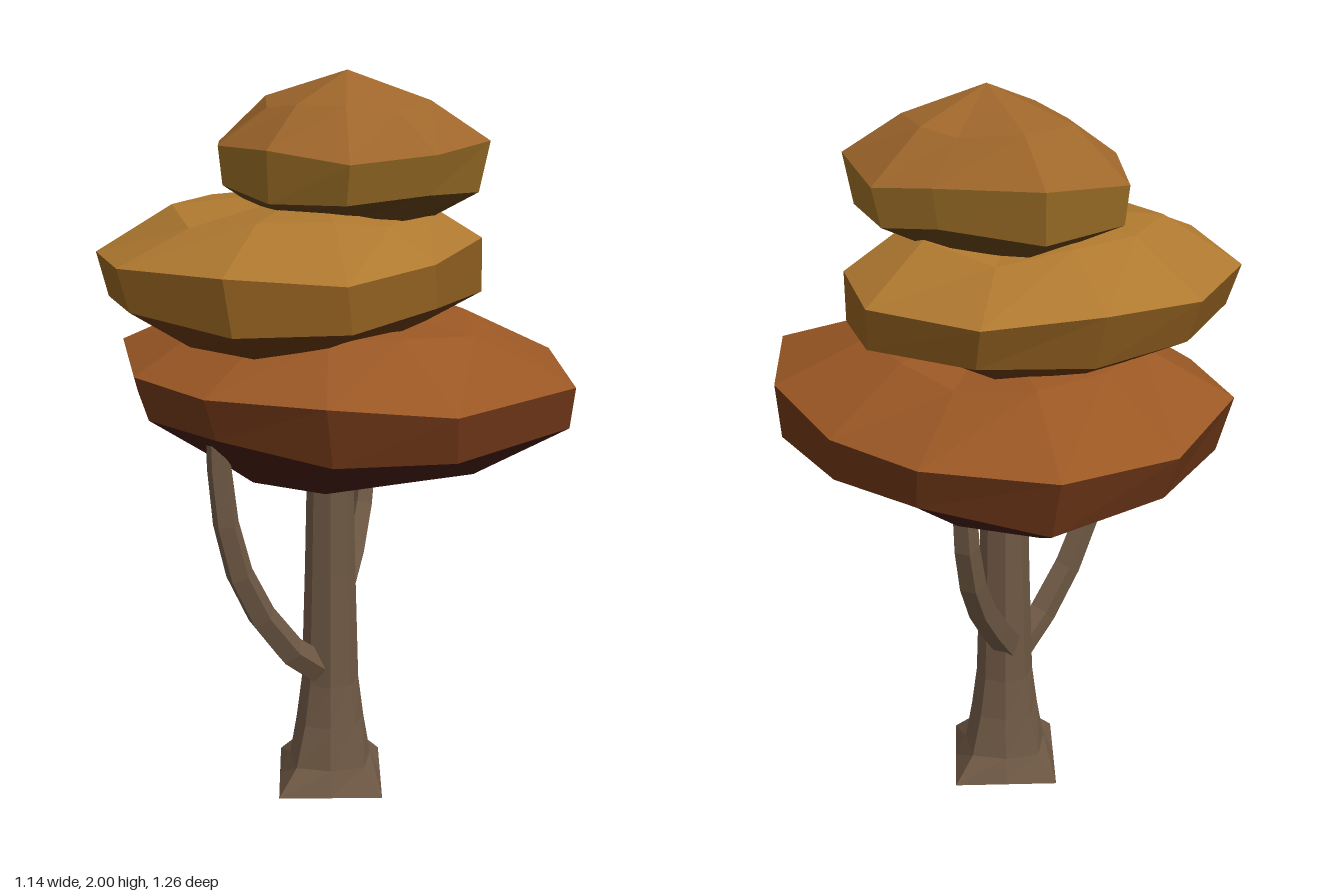
import * as THREE from 'three';

const material = (color) => new THREE.MeshStandardMaterial({ color, flatShading: true, roughness: 1 });

// Skin a stack of rings (listed bottom to top, clockwise seen from above)
function loft(rings) {
  const pos = [];
  const n = rings[0].length;
  const same = (p, q) => p.every((v, k) => v === q[k]);
  const tri = (a, b, c) => {
    if (!same(a, b) && !same(b, c) && !same(a, c)) pos.push(...a, ...b, ...c);
  };
  for (let r = 0; r < rings.length - 1; r++) {
    for (let i = 0; i < n; i++) {
      const j = (i + 1) % n;
      const lo = rings[r], hi = rings[r + 1];
      tri(lo[j], lo[i], hi[i]);
      tri(lo[j], hi[i], hi[j]);
    }
  }
  const g = new THREE.BufferGeometry();
  g.setAttribute('position', new THREE.Float32BufferAttribute(pos, 3));
  g.computeVertexNormals();
  return g;
}

function addMesh(parent, name, geometry, color) {
  const mesh = new THREE.Mesh(geometry, material(color));
  mesh.name = name;
  parent.add(mesh);
}

// A squashed leaf clump: underside, rim and crown share one irregular outline.
// Each level is [y, scale, centre x, centre z, height wobble]
function leafClump(name, outline, levels, colors) {
  const group = new THREE.Group();
  group.name = name;
  const n = outline.length;
  const mx = outline.reduce((s, p) => s + p[0], 0) / n;
  const mz = outline.reduce((s, p) => s + p[1], 0) / n;
  const rings = levels.map(([y, s, cx = mx, cz = mz, wob = 0], l) =>
    outline.map(([x, z], i) => [
      cx + (x - mx) * s,
      y + wob * Math.sin(i * 2.1 + l * 1.7),
      cz + (z - mz) * s,
    ]));
  addMesh(group, name + 'Underside', loft(rings.slice(0, 3)), colors[0]);
  addMesh(group, name + 'Rim', loft(rings.slice(2, 4)), colors[1]);
  addMesh(group, name + 'Crown', loft(rings.slice(3)), colors[2]);
  return group;
}

export function createModel() {
  const tree = new THREE.Group();
  tree.name = 'tree';
  const bark = 0x6e5844;

  // Trunk: eight sides flaring to a diamond foot; [y, corner radius, mid radius]
  const trunkRings = [
    [0, 0, 0], [0.012, 0.205, 0.145], [0.08, 0.135, 0.115], [0.2, 0.1, 0.095],
    [0.32, 0.08, 0.08], [0.65, 0.07, 0.07], [1.08, 0.06, 0.06],
  ].map(([y, corner, mid]) => Array.from({ length: 8 }, (_, i) => {
    const a = i * Math.PI / 4;
    const r = i % 2 ? mid : corner;
    return [r ? r * Math.sin(a) : 0, y, r ? -r * Math.cos(a) : 0];
  }));
  addMesh(tree, 'trunk', loft(trunkRings), bark);

  // Two curved branches reaching into the lowest clump
  const branches = {
    rightBranch: [[-0.03, 0.35, 0], [-0.16, 0.46, -0.01], [-0.27, 0.63, -0.03],
      [-0.33, 0.79, -0.04], [-0.355, 1.0, -0.05], [-0.36, 1.17, -0.05]],
    leftBranch: [[0.02, 0.43, -0.03], [0.11, 0.54, -0.06], [0.2, 0.67, -0.09],
      [0.265, 0.82, -0.12], [0.29, 1.0, -0.13], [0.29, 1.15, -0.13]],
  };
  for (const [name, pts] of Object.entries(branches)) {
    const curve = new THREE.CatmullRomCurve3(pts.map((p) => new THREE.Vector3(...p)));
    const g = new THREE.TubeGeometry(curve, 6, 0.045, 5);
    // Taper each ring toward the tip
    const p = g.attributes.position;
    const v = new THREE.Vector3();
    for (let i = 0; i < p.count; i++) {
      const t = Math.floor(i / 6) / 6;
      const c = curve.getPointAt(t);
      v.fromBufferAttribute(p, i).sub(c).multiplyScalar(1 - 0.32 * t).add(c);
      p.setXYZ(i, v.x, v.y, v.z);
    }
    addMesh(tree, name, g, bark);
  }

  // Leaf clumps, outlines as [x, z] running back, left side, front, right side
  tree.add(leafClump('lowerLeaves',
    [[0.07, -0.63], [0.4, -0.55], [0.56, -0.25], [0.565, 0.05], [0.48, 0.36], [0.23, 0.63],
      [-0.14, 0.56], [-0.37, 0.35], [-0.49, 0.05], [-0.44, -0.28], [-0.26, -0.55]],
    [[0.94, 0, 0.06, 0], [0.99, 0.62, 0.03, -0.02, 0.015], [1.12, 0.96, 0.06, -0.01, 0.02],
      [1.245, 1, undefined, undefined, 0.015], [1.365, 0.6, 0.04, -0.02, 0.015], [1.41, 0, 0.02, 0]],
    [0x40190f, 0x6c3516, 0x9a5724]));

  tree.add(leafClump('middleLeaves',
    [[-0.14, -0.52], [0.14, -0.455], [0.39, -0.29], [0.45, 0.03], [0.34, 0.23], [0, 0.36],
      [-0.3, 0.35], [-0.51, 0.15], [-0.575, -0.16], [-0.43, -0.43]],
    [[1.3, 0, -0.08, -0.04], [1.34, 0.62, -0.08, -0.05, 0.015], [1.43, 0.97, -0.065, -0.05, 0.015],
      [1.55, 1, undefined, undefined, 0.012], [1.655, 0.64, -0.07, -0.04, 0.02], [1.7, 0, -0.04, -0.02]],
    [0x62340f, 0x8c5c1e, 0xae782f]));

  tree.add(leafClump('upperLeaves',
    [[-0.08, -0.335], [0.17, -0.29], [0.3, -0.05], [0.355, 0.1], [0.25, 0.32], [0, 0.36],
      [-0.2, 0.26], [-0.29, 0.07], [-0.24, -0.16]],
    [[1.6, 0, 0.05, 0.02], [1.635, 0.6, 0.05, 0.01, 0.015], [1.705, 0.95, 0.03, 0.02, 0.012],
      [1.815, 1, undefined, undefined, 0.015], [1.92, 0.6, 0.02, 0.03, 0.012], [2, 0, 0.01, 0.05]],
    [0x5c3c12, 0x966a24, 0x9e662b]));

  return tree;
}
